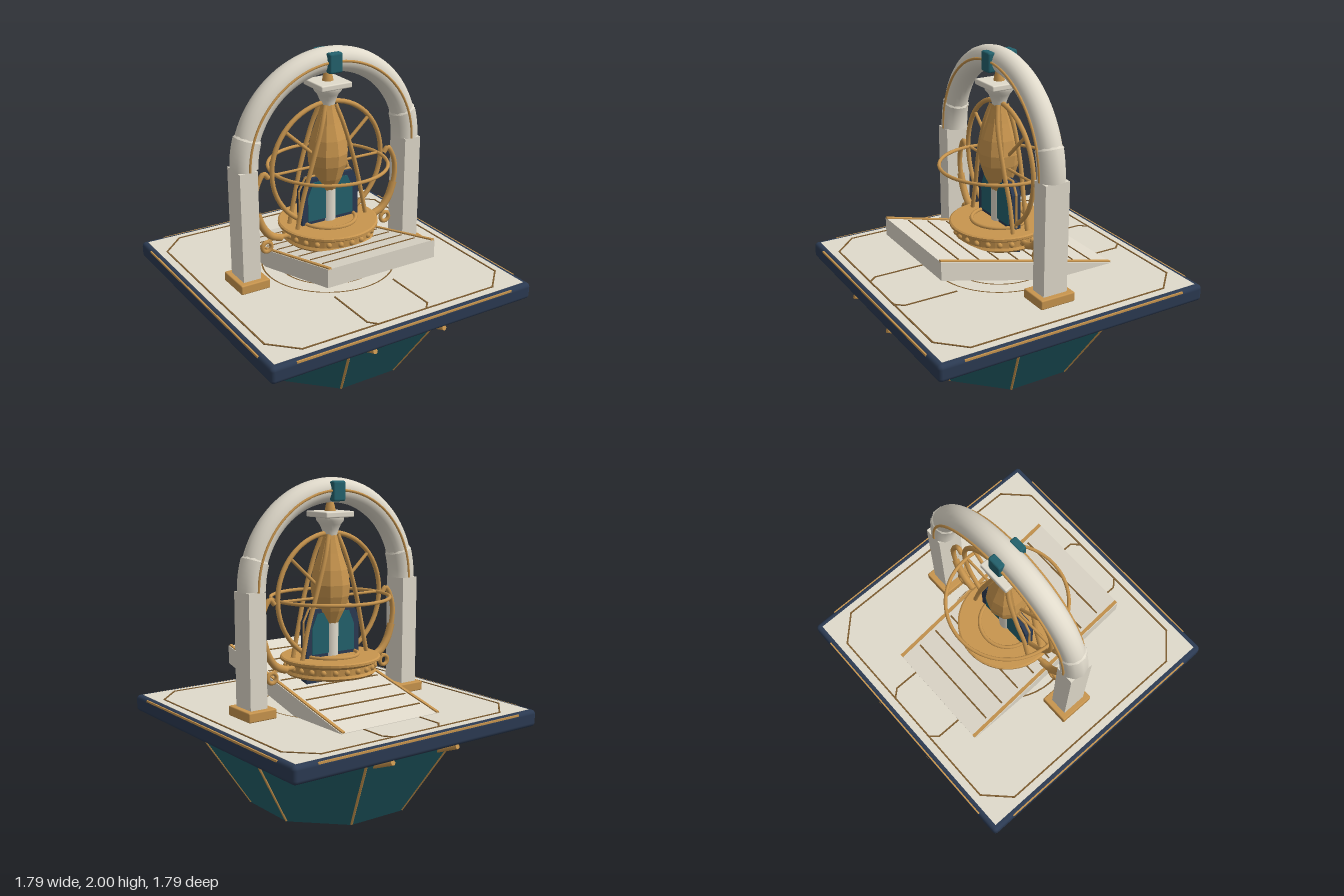
import * as THREE from 'three';
import { RoundedBoxGeometry } from 'three/addons/geometries/RoundedBoxGeometry.js';

const mat = (name, color, opts = {}) => {
  const m = new THREE.MeshStandardMaterial({ color, ...opts });
  m.name = name;
  return m;
};

export function createModel() {
  const root = new THREE.Group();
  root.name = 'shrine';
  const ivory = mat('ivory', 0xe0dacb);
  const gold = mat('gold', 0xc8954e);
  const bronze = mat('darkBronze', 0x7d5c30);
  const teal = mat('teal', 0x23616c, { flatShading: true });
  const navy = mat('navy', 0x2b3a52);
  const facetGold = mat('facetedGold', 0xc8954e, { flatShading: true });

  const add = (name, geo, material, x = 0, y = 0, z = 0) => {
    const m = new THREE.Mesh(geo, material);
    m.name = name;
    m.position.set(x, y, z);
    root.add(m);
    return m;
  };
  const box = (name, w, h, d, material, x, y, z) => add(name, new THREE.BoxGeometry(w, h, d), material, x, y, z);
  const vec = (p) => new THREE.Vector3(...p);
  // straight round bar between two points
  const rod = (name, a, b, r, material, sides = 8) => {
    const A = vec(a), B = vec(b), d = B.clone().sub(A);
    const m = add(name, new THREE.CylinderGeometry(r, r, d.length(), sides), material);
    m.position.copy(A).add(B).multiplyScalar(0.5);
    m.quaternion.setFromUnitVectors(new THREE.Vector3(0, 1, 0), d.normalize());
    return m;
  };
  const tube = (name, pts, r, material, n = 32) =>
    add(name, new THREE.TubeGeometry(new THREE.CatmullRomCurve3(pts.map(vec)), n, r, 8), material);
  const lathe = (name, pts, material, n = 24) =>
    add(name, new THREE.LatheGeometry(pts.map(p => new THREE.Vector2(...p)), n), material);
  // flat line on the floor
  const inlay = (x1, z1, x2, z2) => {
    const m = box('floorInlay', Math.hypot(x2 - x1, z2 - z1) + 0.008, 0.006, 0.01, bronze, (x1 + x2) / 2, 0.617, (z1 + z2) / 2);
    m.rotation.y = -Math.atan2(z2 - z1, x2 - x1);
  };

  // Octagonal base with gold seams
  add('base', new THREE.CylinderGeometry(0.845, 0.508, 0.515, 8).rotateY(Math.PI / 8), teal, 0, 0.2575, 0);
  for (let i = 0; i < 8; i++) {
    const a = Math.PI / 8 + i * Math.PI / 4, c = Math.cos(a), s = Math.sin(a);
    rod('baseSeam', [0.508 * c, 0.006, 0.508 * s], [0.842 * c, 0.51, 0.842 * s], 0.008, gold, 6);
  }

  // Platform, floor and edge strips
  add('platform', new RoundedBoxGeometry(1.79, 0.104, 1.79, 3, 0.025), navy, 0, 0.562, 0);
  box('floor', 1.72, 0.01, 1.72, ivory, 0, 0.611, 0);
  for (const s of [-1, 1]) {
    box('edgeStrip', 1.48, 0.012, 0.012, gold, 0, 0.603, s * 0.888);
    box('edgeStrip', 0.012, 0.012, 1.48, gold, s * 0.888, 0.603, 0);
    for (const x of [-0.24, 0.24]) rod('bracket', [x, 0.505, s * 0.89], [x, 0.44, s * 0.72], 0.015, gold);
  }

  // Floor inlays
  const oct = [[-0.66, -0.81], [0.66, -0.81], [0.81, -0.66], [0.81, 0.66], [0.66, 0.81], [-0.66, 0.81], [-0.81, 0.66], [-0.81, -0.66]];
  oct.forEach((p, i) => inlay(...p, ...oct[(i + 1) % 8]));
  for (const sx of [-1, 1]) for (const sz of [-1, 1]) {
    inlay(sx * 0.21, sz * 0.42, sx * 0.21, sz * 0.76);
    inlay(sx * 0.21, sz * 0.76, sx * 0.165, sz * 0.81);
  }
  for (const r of [0.31, 0.415])
    add('floorRing', new THREE.RingGeometry(r - 0.005, r + 0.005, 48).rotateX(-Math.PI / 2), bronze, 0, 0.62, 0);

  // Sloping ramp, high at the front
  const side = new THREE.Shape([[-0.6, 0.92], [-0.6, 0.805], [0.14, 0.617], [0.6, 0.617], [0.6, 0.62]].map(p => new THREE.Vector2(...p)));
  add('ramp', new THREE.ExtrudeGeometry(side, { depth: 0.74, bevelEnabled: false }).translate(0, 0, -0.37).rotateY(Math.PI / 2), ivory);
  const rampY = (z) => 0.77 + 0.25 * z;
  const tilt = -Math.atan(0.25);
  for (const s of [-1, 1])
    box('rampRail', 0.02, 0.012, 1.235, gold, s * 0.355, 0.772, 0).rotation.x = tilt;
  for (let i = 0; i < 8; i++) {
    const z = -0.467 + i * 0.1333;
    box('rampLine', 0.65, 0.006, 0.01, bronze, 0, rampY(z) + 0.001, z).rotation.x = tilt;
  }

  // Arch with plinths, posts, collars and gold lines
  const R = 0.565, archY = 1.36;
  for (const s of [-1, 1]) {
    add('plinth', new RoundedBoxGeometry(0.192, 0.06, 0.232, 2, 0.008), gold, s * 0.57, 0.645, 0);
    box('post', 0.115, 0.69, 0.16, ivory, s * 0.575, 1.015, 0);
    const collar = add('archCollar', new THREE.TorusGeometry(R, 0.084, 10, 6, 0.31), ivory, 0, archY, 0);
    if (s < 0) collar.rotation.z = Math.PI - 0.31;
    add('archEnd', new THREE.CircleGeometry(0.084, 10).rotateX(Math.PI / 2), ivory, s * R, archY, 0);
    // slanted shoulder where the collar meets the arch
    const lip = add('collarLip', new THREE.CylinderGeometry(0.074, 0.084, 0.016, 10), ivory,
      s * R * Math.cos(0.322), archY + R * Math.sin(0.322), 0);
    lip.rotation.z = s * 0.322;
    add('archLine', new THREE.TorusGeometry(R, 0.008, 6, 48, Math.PI), gold, 0, archY, s * 0.08);
    add('keystone', new RoundedBoxGeometry(0.09, 0.12, 0.048, 2, 0.012), teal, 0, 1.92, s * 0.074);
  }
  add('arch', new THREE.TorusGeometry(R, 0.075, 20, 48, Math.PI), ivory, 0, archY, 0);

  // Hanging capital under the arch
  lathe('hanger', [[0.035, 1.795], [0.028, 1.83], [0.015, 1.87]], gold, 12);
  add('capitalPlate', new RoundedBoxGeometry(0.21, 0.036, 0.21, 2, 0.008), ivory, 0, 1.782, 0);
  lathe('capital', [[0.03, 1.6], [0.045, 1.67], [0.052, 1.69], [0.065, 1.72], [0.085, 1.745], [0.085, 1.768]], ivory);

  // Central vessel and column
  lathe('vessel', [[0, 1.11], [0.05, 1.12], [0.09, 1.2], [0.12, 1.29], [0.126, 1.36], [0.11, 1.45], [0.075, 1.55], [0.05, 1.63], [0.04, 1.67], [0, 1.67]], facetGold, 10);
  lathe('column', [[0.05, 0.62], [0.05, 1.13]], ivory);
  lathe('columnFoot', [[0.1, 0.617], [0.1, 0.64], [0.085, 0.652], [0.05, 0.655]], gold);
  lathe('columnFootRing', [[0.07, 0.64], [0.075, 0.66], [0.07, 0.685], [0.05, 0.69]], ivory);

  // Panel behind the column, with painted inset and gold crown
  const pts = [[-0.2, 0.62], [0.2, 0.62], [0.2, 1.14], [0.16, 1.215], [-0.16, 1.215], [-0.2, 1.14]];
  const panel = new THREE.Shape(pts.map(p => new THREE.Vector2(...p)));
  add('panel', new THREE.ExtrudeGeometry(panel, { depth: 0.06, bevelEnabled: false }), navy, 0, 0, -0.03);
  const inset = new THREE.Shape([[-0.16, 0.94], [0.16, 0.94], [0.16, 1.1], [0.12, 1.19], [-0.12, 1.19], [-0.16, 1.1]].map(p => new THREE.Vector2(...p)));
  add('panelInset', new THREE.ExtrudeGeometry(inset, { depth: 0.07, bevelEnabled: false }), teal, 0, 0, -0.035);
  for (const s of [-1, 1]) {
    rod('panelTrim', [s * 0.2, 0.93, 0], [s * 0.2, 1.14, 0], 0.008, gold);
    rod('panelTrim', [s * 0.2, 1.14, 0], [s * 0.16, 1.218, 0], 0.008, gold);
  }
  rod('panelTrim', [-0.16, 1.218, 0], [0.16, 1.218, 0], 0.008, gold);

  // Round table
  lathe('table', [[0, 0.76], [0.1, 0.77], [0.08, 0.81], [0.27, 0.81], [0.285, 0.825], [0.275, 0.84], [0.275, 0.88], [0.295, 0.89],
    [0.31, 0.9], [0.31, 0.914], [0.3, 0.92], [0, 0.92]], facetGold, 40);
  add('tableRing', new THREE.TorusGeometry(0.172, 0.012, 8, 40).rotateX(Math.PI / 2), gold, 0, 0.926, 0);
  for (let i = 0; i < 24; i++) {
    const a = i * Math.PI / 12;
    add('tableBead', new THREE.SphereGeometry(0.018, 8, 6), gold, 0.275 * Math.cos(a), 0.86, 0.275 * Math.sin(a));
  }

  // Armillary rings, spokes and legs
  add('uprightRing', new THREE.TorusGeometry(0.385, 0.015, 8, 64), gold, 0, 1.285, 0);
  add('levelRing', new THREE.TorusGeometry(0.364, 0.011, 8, 64).rotateX(Math.PI / 2), gold, 0, 1.28, 0);
  for (const s of [-1, 1]) {
    rod('spoke', [s * 0.07, 1.33, 0], [s * 0.3, 1.54, 0], 0.011, gold);
    rod('levelSpoke', [s * 0.1, 1.28, 0], [s * 0.38, 1.28, 0], 0.009, gold);
    for (const z of [-0.05, 0.05])
      tube('leg', [[s * 0.035, 1.66, z * 0.6], [s * 0.075, 1.54, z * 1.1], [s * 0.15, 1.3, z * 1.2], [s * 0.205, 1.1, z], [s * 0.245, 0.92, z]], 0.014, gold);

    // Curling side arms
    tube('sideArm', [[s * 0.41, 1.27, 0], [s * 0.44, 1.3, 0], [s * 0.485, 1.23, 0], [s * 0.5, 1.13, 0], [s * 0.475, 1.01, 0], [s * 0.42, 0.92, 0], [s * 0.34, 0.875, 0], [s * 0.27, 0.87, 0]], 0.016, gold, 48);
    tube('sideArmHeel', [[s * 0.49, 1.06, 0], [s * 0.455, 0.965, 0], [s * 0.4, 0.895, 0], [s * 0.33, 0.865, 0]], 0.024, gold, 20);
    add('scroll', new THREE.TorusGeometry(0.031, 0.013, 8, 20), gold, s * 0.43, 0.828, 0);
    tube('scrollStem', [[s * 0.43, 0.86, 0], [s * 0.39, 0.87, 0], [s * 0.33, 0.865, 0]], 0.011, gold, 12);
  }
  return root;
}
